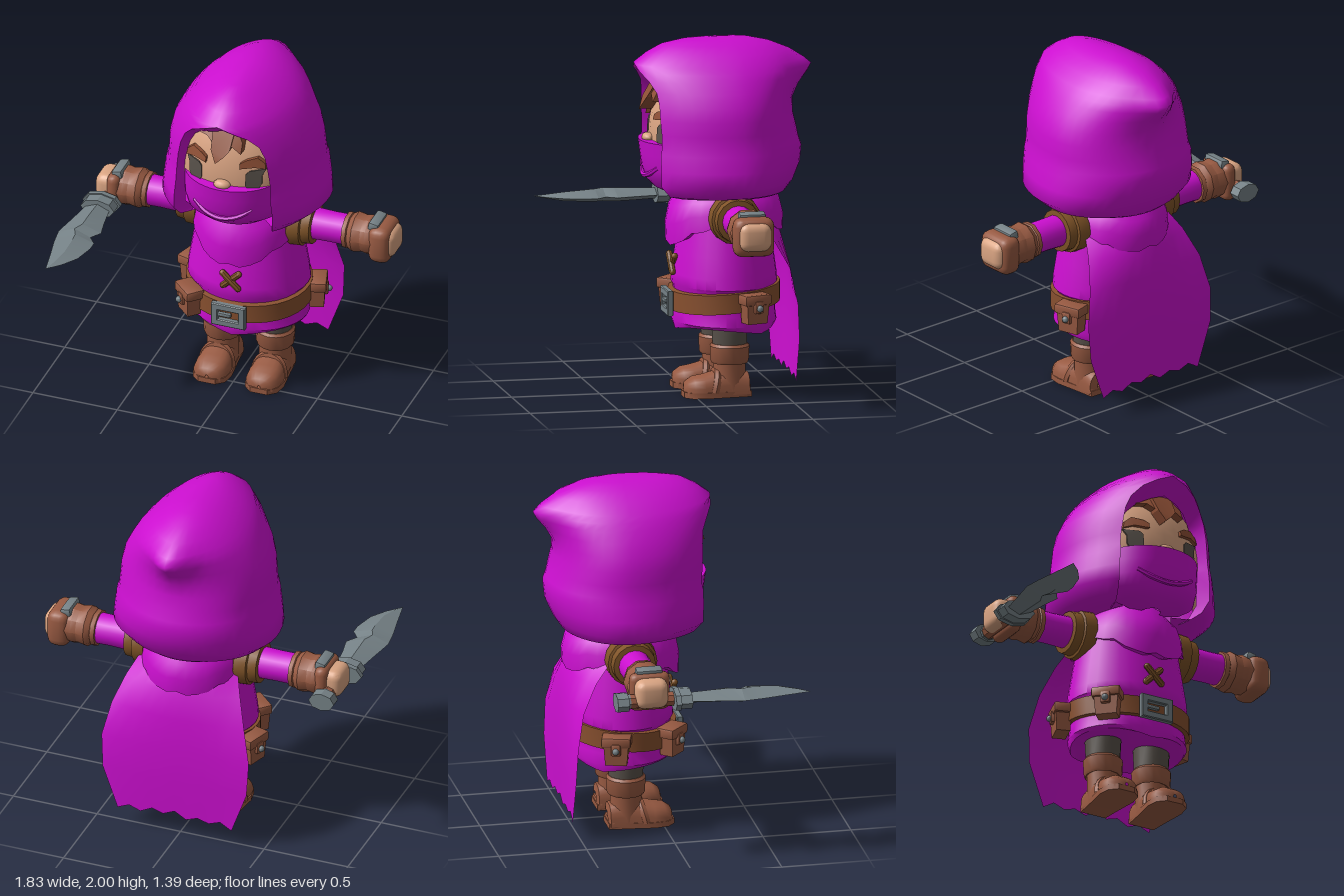
import * as THREE from 'three';
import { mergeVertices, toCreasedNormals } from 'three/addons/utils/BufferGeometryUtils.js';
import { RoundedBoxGeometry } from 'three/addons/geometries/RoundedBoxGeometry.js';

const mat = (name, color, side = THREE.FrontSide) => {
  const m = new THREE.MeshStandardMaterial({ color, side });
  m.name = name;
  return m;
};
const V = (x, y, z) => new THREE.Vector3(x, y, z);

// Skin a list of cross-sections (each an array of points)
function loft(rings, closed = false) {
  const n = rings[0].length, idx = [];
  for (let r = 0; r < rings.length - 1; r++)
    for (let i = 0; i < (closed ? n : n - 1); i++) {
      const a = r * n + i, b = r * n + (i + 1) % n;
      idx.push(a, b, b + n, a, b + n, a + n);
    }
  let g = new THREE.BufferGeometry().setFromPoints(rings.flat());
  g.setIndex(idx);
  g = mergeVertices(g, 1e-4);
  g.computeVertexNormals();
  return g;
}
// Move every vertex by a rule
function bend(g, rule) {
  const p = g.attributes.position, v = V(0, 0, 0);
  for (let i = 0; i < p.count; i++) {
    rule(v.fromBufferAttribute(p, i));
    p.setXYZ(i, v.x, v.y, v.z);
  }
  g.computeVertexNormals();
  return g;
}
const lathe = (pts, seg = 24) => new THREE.LatheGeometry(pts.map(p => new THREE.Vector2(...p)), seg);
const plate = (pts, depth) => new THREE.ExtrudeGeometry(
  new THREE.Shape(pts.map(p => new THREE.Vector2(...p))), { depth, bevelEnabled: false });
const faceZ = (x, y) => -0.1 + 0.32 * Math.sqrt(Math.max(0, 1 - (x / 0.38) ** 2 - ((y - 1.45) / 0.45) ** 2));

export function createModel() {
  const purple = mat('purpleCloth', 0xcc0fd0), purple2 = mat('purpleClothTwoSided', 0xcc0fd0, THREE.DoubleSide);
  const skin = mat('skin', 0xdba583), boot = mat('redBrownLeather', 0x985a42), belt = mat('beltLeather', 0x88502f);
  const pad = mat('padLeather', 0x805428), hair = mat('hairBrown', 0x8f5036);
  const dark = mat('darkCloth', 0x58514a), metal = mat('metal', 0x768287);

  const root = new THREE.Group(), body = new THREE.Group();
  root.name = 'hoodedRogue';
  body.name = 'body';
  body.position.x = 0.02;
  root.add(body);
  const add = (name, geo, m, parent = body, crease = 0.7) => {
    const mesh = new THREE.Mesh(crease ? toCreasedNormals(geo, crease) : geo, m);
    mesh.name = name;
    parent.add(mesh);
    return mesh;
  };

  // Hood: [y, half width, front depth, back depth, opening half width, back tip]
  const hood = [
    [1.15, 0.22, 0.3, 0.26, 0.15, 0], [1.13, 0.33, 0.42, 0.32, 0.24, 0], [1.15, 0.41, 0.48, 0.34, 0.27, 0],
    [1.21, 0.478, 0.52, 0.38, 0.29, 0], [1.3, 0.465, 0.53, 0.42, 0.29, 0], [1.39, 0.452, 0.53, 0.43, 0.28, 0],
    [1.43, 0.438, 0.53, 0.415, 0.28, 0], [1.5, 0.432, 0.53, 0.4, 0.275, 0], [1.58, 0.426, 0.53, 0.38, 0.265, 0],
    [1.66, 0.405, 0.53, 0.375, 0.25, 0.01], [1.73, 0.37, 0.53, 0.385, 0.22, 0.04], [1.79, 0.335, 0.53, 0.4, 0.165, 0.075],
    [1.83, 0.305, 0.52, 0.4, 0.09, 0.095], [1.865, 0.275, 0.51, 0.38, 0, 0.075], [1.92, 0.215, 0.44, 0.345, 0, 0.025],
    [1.965, 0.14, 0.36, 0.26, 0, 0], [1.99, 0.075, 0.25, 0.15, 0, 0], [2, 0, 0, 0, 0, 0]];
  const hoodRings = hood.map(([y, w, zf, zb, o, tip]) => {
    const t0 = w ? Math.asin(o / w) : 0, ring = [];
    for (let i = 0; i <= 36; i++) {
      const t = t0 + (2 * Math.PI - 2 * t0) * i / 36, x = w * Math.sin(t), c = Math.cos(t);
      ring.push(V(i === 36 && !o ? 0 : x, y, -0.2 + c * (c > 0 ? zf : zb) - (c < 0 ? tip * Math.exp(-((x / 0.1) ** 2)) : 0)));
    }
    return ring;
  });
  add('hood', loft(hoodRings), purple2, body, 0);
  // Turned-in rim of the hood opening
  const open = hoodRings.slice(1, 14);
  const edge = [...open.map(r => r[0]), ...open.slice(0, -1).reverse().map(r => r[36])];
  const lip = edge.map(p => V(p.x * 0.9, p.y > 1.45 ? 1.45 + (p.y - 1.45) * 0.8 : p.y, p.z - 0.1));
  add('hoodRim', loft([edge, lip]), purple2, body, 0);

  // Head, hair and facial features
  add('head', new THREE.SphereGeometry(1, 32, 20, 0, Math.PI * 2, 0, 2.1).scale(0.38, 0.45, 0.32).translate(0, 1.45, -0.1), skin);
  add('nose', new THREE.SphereGeometry(0.045, 12, 8).scale(1.1, 0.6, 0.8).translate(0, 1.445, 0.23), skin);
  const onFace = (name, pts, depth, m) =>
    add(name, bend(plate(pts, depth), v => { v.z += faceZ(v.x, v.y); }), m, body, 0.3);
  for (const s of [1, -1]) {
    const flip = pts => pts.map(([x, y]) => [x * s, y]);
    onFace('eye', flip([[0.14, 1.43], [0.2, 1.43], [0.215, 1.46], [0.215, 1.51], [0.235, 1.55], [0.15, 1.54], [0.13, 1.52], [0.13, 1.45]]), 0.009, dark);
    onFace('eyebrow', flip([[0.1, 1.56], [0.18, 1.57], [0.235, 1.555], [0.23, 1.59], [0.19, 1.625], [0.13, 1.61], [0.1, 1.59]]), 0.025, hair);
  }
  onFace('fringeCentre', [[-0.06, 1.67], [-0.025, 1.6], [0.02, 1.64], [0.05, 1.68], [0.06, 1.79], [-0.07, 1.79]], 0.075, hair);
  onFace('fringeLeft', [[0.05, 1.7], [0.11, 1.66], [0.11, 1.72], [0.07, 1.78], [0.03, 1.79]], 0.06, hair);
  onFace('fringeRight', [[-0.03, 1.79], [-0.1, 1.78], [-0.18, 1.72], [-0.1, 1.72], [-0.05, 1.68]], 0.05, hair);

  // Face mask: stacked half ellipses
  const arc = (w, y, zf) => Array.from({ length: 21 }, (_, i) => {
    const t = (i / 20 - 0.5) * Math.PI;
    return V(w * Math.sin(t), y, 0.02 + (zf - 0.02) * Math.cos(t));
  });
  add('mask', loft([arc(0.06, 1.13, 0.12), arc(0.2, 1.165, 0.19), arc(0.27, 1.21, 0.235), arc(0.285, 1.28, 0.26),
    arc(0.285, 1.36, 0.272), arc(0.285, 1.435, 0.282), arc(0.265, 1.435, 0.21)]), purple2, body, 0.9);
  const fold = [-0.17, -0.09, 0, 0.09, 0.17].map(x =>
    V(x, 1.235 + 2.2 * x * x, 0.015 + 0.24 * Math.sqrt(1 - (x / 0.285) ** 2)));
  add('maskFold', new THREE.TubeGeometry(new THREE.CatmullRomCurve3(fold), 16, 0.014, 6), purple);

  // Tunic, collar and cape
  const tunic = lathe([[0, 0.42], [0.3, 0.39], [0.33, 0.36], [0.345, 0.41], [0.335, 0.47], [0.335, 0.6], [0.35, 0.62], [0.345, 0.68],
    [0.325, 0.8], [0.3, 0.95], [0.28, 1.05], [0.22, 1.12], [0.1, 1.16]], 32).scale(1, 1, 0.84);
  bend(tunic, v => { if (v.y < 0.38) v.y += 0.035 * Math.abs(Math.sin(1.5 * Math.atan2(v.x, v.z))); });
  add('tunic', tunic.translate(0, 0, -0.2), purple);

  const collarRing = (k, rx, rz) => Array.from({ length: 32 }, (_, i) => {
    const t = i / 32 * Math.PI * 2, c = Math.cos(t);
    const low = 0.99 - (c > 0 ? 0.15 : 0.08) * c * c + (i % 4 === 0 ? 0.015 : -0.005);
    return V(rx * Math.sin(t), 1.18 + (low - 1.18) * k, -0.2 + rz * c);
  });
  add('collar', loft([collarRing(0.96, 0.27, 0.27), collarRing(1, 0.31, 0.325), collarRing(0.65, 0.295, 0.33),
    collarRing(0.35, 0.27, 0.31), collarRing(0, 0.2, 0.23)], true), purple2, body, 0.9);

  const jag = [0, 0.03, 0.005, 0.04, 0.02, 0.05, 0.01, 0.035, 0.015, 0.04, 0];
  const cape = [[0.1, 0.34, -0.54, 0], [0.35, 0.43, -0.55, 0.01], [0.55, 0.44, -0.55, 0.02], [0.75, 0.395, -0.54, 0.05],
    [0.9, 0.34, -0.51, 0.1], [1, 0.29, -0.46, 0.14], [1.09, 0.22, -0.37, 0.14]];
  add('cape', loft(cape.map(([y, w, z, k], r) => jag.map((j, i) => {
    const u = 1 - i / 5;
    return V(u * w, y + (r ? 0 : j), z + k * u * u);
  }))), purple2, body, 0);

  // Cross stitch on the chest
  for (const s of [1, -1])
    add('stitch', new THREE.CapsuleGeometry(0.019, 0.125, 4, 8).rotateZ(s * 0.8).translate(0, 0.73, 0.095 + s * 0.006), pad);

  // Belt, buckle and pouches
  const strap = bend(lathe([[0.32, 0.48], [0.36, 0.485], [0.36, 0.595], [0.32, 0.6]], 32),
    v => { v.y += 0.01 - 0.025 * v.z / 0.36; });
  add('belt', strap.scale(1, 1, 0.86).translate(0, 0, -0.2), belt);
  const frame = new THREE.Shape([[-0.095, 0.45], [0.095, 0.45], [0.095, 0.58], [-0.095, 0.58]].map(p => new THREE.Vector2(...p)));
  frame.holes.push(new THREE.Path([[-0.065, 0.48], [-0.065, 0.55], [0.065, 0.55], [0.065, 0.48]].map(p => new THREE.Vector2(...p))));
  add('buckle', new THREE.ExtrudeGeometry(frame, { depth: 0.025, bevelSize: 0.005, bevelThickness: 0.005, bevelSegments: 1 }).translate(0, 0, 0.11), metal);
  add('bucklePin', new RoundedBoxGeometry(0.09, 0.022, 0.025, 1, 0.006).translate(-0.03, 0.515, 0.125), metal);
  for (const a of [-0.76, Math.PI / 2 + 0.3, -Math.PI / 2 - 0.3]) {
    const g = new THREE.Group();
    g.name = 'pouch';
    g.position.set(Math.sin(a) * 0.385, 0.53, -0.2 + Math.cos(a) * 0.33);
    g.rotation.y = a;
    body.add(g);
    add('pouchBag', new THREE.CylinderGeometry(0.1, 0.085, 0.13, 4).rotateY(Math.PI / 4).scale(1, 1, 0.65).translate(0, -0.025, 0), boot, g, 0.3);
    add('pouchFlap', new RoundedBoxGeometry(0.165, 0.06, 0.11, 1, 0.012).translate(0, 0.045, 0), boot, g);
    add('pouchTab', new RoundedBoxGeometry(0.055, 0.07, 0.1, 1, 0.01).translate(0, 0.005, 0.012), boot, g);
    add('pouchStud', new THREE.SphereGeometry(0.019, 10, 8).translate(0, 0, 0.065), metal, g);
  }

  // Arms and legs
  for (const s of [1, -1]) {
    const along = (name, pts, m, seg = 16) =>
      add(name, lathe(pts, seg).rotateZ(-s * Math.PI / 2).translate(0, 1.02, -0.2), m);
    along('shoulderPad', [[0.1, 0.24], [0.145, 0.27], [0.14, 0.34], [0.125, 0.345], [0.12, 0.395], [0.08, 0.4]], pad);
    along('sleeve', [[0.092, 0.36], [0.088, 0.5], [0.09, 0.62]], purple);
    along('bracer', [[0.07, 0.575], [0.104, 0.58], [0.107, 0.605], [0.1, 0.61], [0.118, 0.64], [0.108, 0.69], [0.115, 0.72], [0.1, 0.78], [0, 0.78]], boot, 10);
    add('glove', new RoundedBoxGeometry(s > 0 ? 0.13 : 0.08, 0.22, 0.23, 2, 0.05).translate(s * (s > 0 ? 0.8 : 0.775), 1.01, -0.2), boot);
    add('hand', new RoundedBoxGeometry(0.16, 0.165, 0.185, 3, 0.05).translate(s * 0.81, 1.015, -0.2), skin);
    add('wristPlate', new RoundedBoxGeometry(0.06, 0.05, 0.15, 1, 0.012).rotateZ(-s * 0.2).translate(s * 0.76, 1.115, -0.2), metal);

    const leg = new THREE.Group();
    leg.name = 'leg';
    leg.position.set(s * 0.155, 0, -0.2);
    body.add(leg);
    add('trouser', new THREE.CylinderGeometry(0.105, 0.095, 0.2, 16).translate(0, 0.35, 0), dark, leg);
    add('bootShaft', lathe([[0.09, 0.03], [0.09, 0.19], [0.1, 0.185], [0.108, 0.2], [0.112, 0.28], [0.1, 0.295], [0, 0.295]], 16), boot, leg);
    // Foot: arched sections from heel to toe [z, half width, height]
    const foot = [[-0.11, 0.04, 0.09], [-0.1, 0.085, 0.13], [0, 0.09, 0.16], [0.08, 0.095, 0.14],
      [0.15, 0.103, 0.12], [0.21, 0.098, 0.11], [0.25, 0.07, 0.085], [0.262, 0.01, 0.05]];
    add('foot', loft(foot.map(([z, w, h]) => Array.from({ length: 13 }, (_, i) => {
      const t = i / 12 * Math.PI;
      return V(w * Math.sign(Math.cos(t)) * Math.abs(Math.cos(t)) ** 0.7, 0.015 + (h - 0.015) * Math.sin(t) ** 0.7, z);
    }))), boot, leg, 0.9);
    const sole = plate([[-0.08, 0.11], [0.08, 0.11], [0.09, 0], [0.108, -0.15], [0.095, -0.225], [0.05, -0.265],
      [-0.05, -0.265], [-0.095, -0.225], [-0.108, -0.15], [-0.09, 0]], 0.032);
    add('sole', sole.rotateX(-Math.PI / 2), boot, leg);
    add('heel', new RoundedBoxGeometry(0.17, 0.05, 0.12, 1, 0.012).translate(0, 0.025, -0.045), boot, leg);
    add('bootStrap', new THREE.TorusGeometry(0.092, 0.018, 6, 20, Math.PI).scale(1, 1.25, 1.3).rotateX(-0.25).translate(0, 0.03, 0.1), boot, leg);
  }

  // Short sword in the right hand, pointing forward
  const sword = new THREE.Group();
  sword.name = 'sword';
  sword.position.set(-0.82, 0.97, 0);
  body.add(sword);
  const rod = (name, r, z0, z1, m, sy = 1, seg = 8) =>
    add(name, new THREE.CylinderGeometry(r, r, z1 - z0, seg).rotateX(Math.PI / 2).scale(1, sy, 1).translate(0, 0, (z0 + z1) / 2), m, sword, 0.4);
  rod('pommel', 0.076, -0.4, -0.335, metal, 0.7);
  rod('pommelNeck', 0.045, -0.345, -0.32, metal);
  rod('grip', 0.042, -0.33, -0.07, boot);
  rod('guardPlate', 0.112, -0.075, -0.045, metal, 0.55);
  rod('guard', 0.1, -0.05, 0.02, metal, 0.55);
  // Blade: diamond sections [z, outer x, inner x, half thickness]
  const blade = [[0.01, -0.07, 0.07, 0.03], [0.15, -0.092, 0.09, 0.036], [0.25, -0.11, 0.11, 0.038], [0.31, -0.12, 0.07, 0.038],
    [0.36, -0.113, 0.11, 0.036], [0.42, -0.105, 0.11, 0.033], [0.54, -0.08, 0.08, 0.025], [0.63, -0.063, 0.02, 0.012], [0.7, -0.05, -0.05, 0]];
  add('blade', loft(blade.map(([z, a, b, h]) => {
    const m = (a + b) / 2;
    return [V(b, 0, z), V(m, h, z), V(a, 0, z), V(m, -h, z)];
  }), true), metal, sword, 0.2);

  return root;
}
